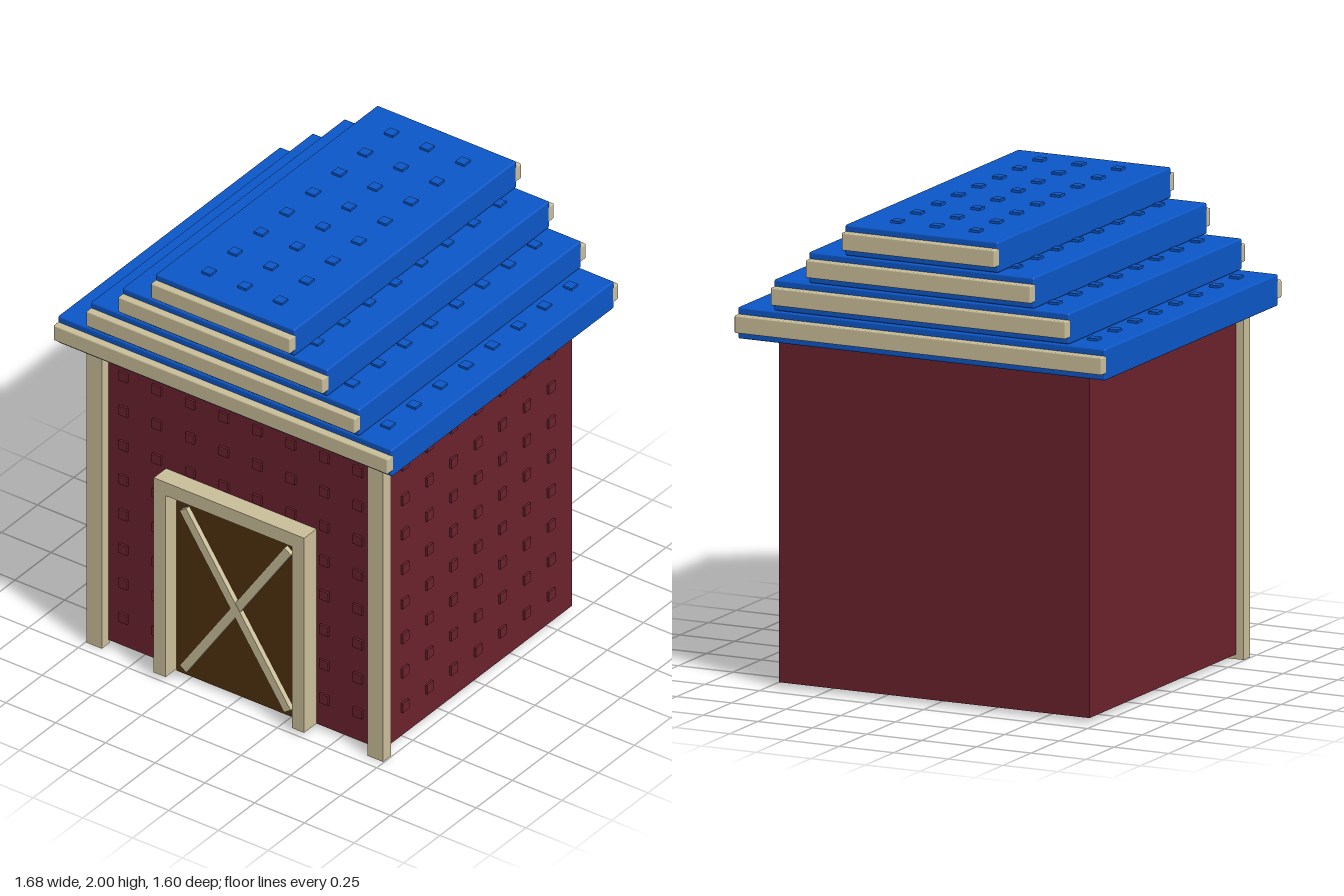
import * as THREE from 'three';
import { RoundedBoxGeometry } from 'three/addons/geometries/RoundedBoxGeometry.js';

const material = (name, color) => {
  const m = new THREE.MeshStandardMaterial({ color });
  m.name = name;
  return m;
};

export function createModel() {
  const red = material('barn red', 0x6b222d);
  const blue = material('roof blue', 0x0c57c8);
  const tan = material('trim tan', 0xcbbf9a);
  const brown = material('door brown', 0x50300f);

  const model = new THREE.Group();
  model.name = 'barn';

  // Box given by its min and max corners, optionally with softened edges
  const box = (name, mat, [x0, y0, z0], [x1, y1, z1], radius = 0) => {
    const size = [x1 - x0, y1 - y0, z1 - z0];
    const geo = radius
      ? new RoundedBoxGeometry(...size, 2, radius)
      : new THREE.BoxGeometry(...size);
    const mesh = new THREE.Mesh(geo, mat);
    mesh.name = name;
    mesh.position.set((x0 + x1) / 2, (y0 + y1) / 2, (z0 + z1) / 2);
    model.add(mesh);
    return mesh;
  };

  // Small square stud, flat along the chosen axis
  const STUD = 0.044, LIFT = 0.02;
  const stud = (group, mat, axis, x, y, z) => {
    const s = [STUD, STUD, STUD];
    s[axis] = LIFT;
    const mesh = new THREE.Mesh(new THREE.BoxGeometry(...s), mat);
    mesh.name = 'stud';
    mesh.position.set(x, y, z);
    group.add(mesh);
  };
  const studGroup = (name) => {
    const g = new THREE.Group();
    g.name = name;
    model.add(g);
    return g;
  };

  // Body
  box('walls', red, [-0.71, 0.02, -0.655], [0.71, 1.47, 0.655]);

  // Wall studs on the front and on the left side
  const front = studGroup('frontStuds');
  const side = studGroup('sideStuds');
  const pitch = 0.1685;
  for (let row = 0; row < 8; row++) {
    const y = 0.158 + row * pitch;
    for (let i = 0; i < 8; i++) {
      const x = (i - 3.5) * pitch;
      if (Math.abs(x) < 0.36 && y < 0.95) continue; // doorway
      stud(front, red, 2, x, y, 0.655);
    }
    for (let i = 0; i < 7; i++) stud(side, red, 0, 0.71, y, (i - 3) * pitch);
  }

  // Front corner posts and door frame uprights
  for (const s of [-1, 1]) {
    const span = (a, b) => (s > 0 ? [a, b] : [-b, -a]);
    const [p0, p1] = span(0.668, 0.745);
    box('cornerPost', tan, [p0, 0, 0.645], [p1, 1.465, 0.7]);
    const [f0, f1] = span(0.318, 0.378);
    box('doorFrameSide', tan, [f0, 0.02, 0.65], [f1, 0.91, 0.74]);
  }
  box('doorFrameTop', tan, [-0.378, 0.905, 0.65], [0.378, 0.97, 0.74]);

  // Door with crossed braces
  box('door', brown, [-0.312, 0.02, 0.65], [0.312, 0.885, 0.675]);
  for (const s of [-1, 1]) {
    const brace = box('doorBrace', tan, [-0.02, -0.02, 0.67], [0.02, 0.92, 0.697 + s * 0.001]);
    brace.position.y = 0.447;
    brace.rotation.z = s * Math.atan2(0.53, 0.785);
  }

  // Stepped roof: half width, bottom, top of each tier
  const tiers = [
    [0.84, 1.463, 1.595],
    [0.675, 1.597, 1.727],
    [0.515, 1.729, 1.859],
    [0.35, 1.861, 1.99],
  ];
  const roofStuds = studGroup('roofStuds');
  tiers.forEach(([w, y0, y1], t) => {
    box('roofTier', blue, [-w, y0, -0.768], [w, y1, 0.768], 0.008);
    // Trim boards at both gable ends
    const mid = (y0 + y1) / 2;
    box('frontRoofTrim', tan, [-w, mid - 0.037, 0.755], [w, mid + 0.037, 0.8], 0.006);
    box('backRoofTrim', tan, [-w, mid - 0.037, -0.8], [w, mid + 0.037, -0.755], 0.006);
    // Studs on the exposed part of the tier
    const inner = t < 3 ? tiers[t + 1][0] : 0;
    for (let i = -4; i <= 4; i++) {
      const x = i * 0.18, a = Math.abs(x);
      if (a > w - STUD / 2 || (t < 3 && a + STUD / 2 < inner)) continue;
      for (let k = 0; k < 8; k++) stud(roofStuds, blue, 1, x, y1, (k - 3.5) * 0.18);
    }
  });

  return model;
}
